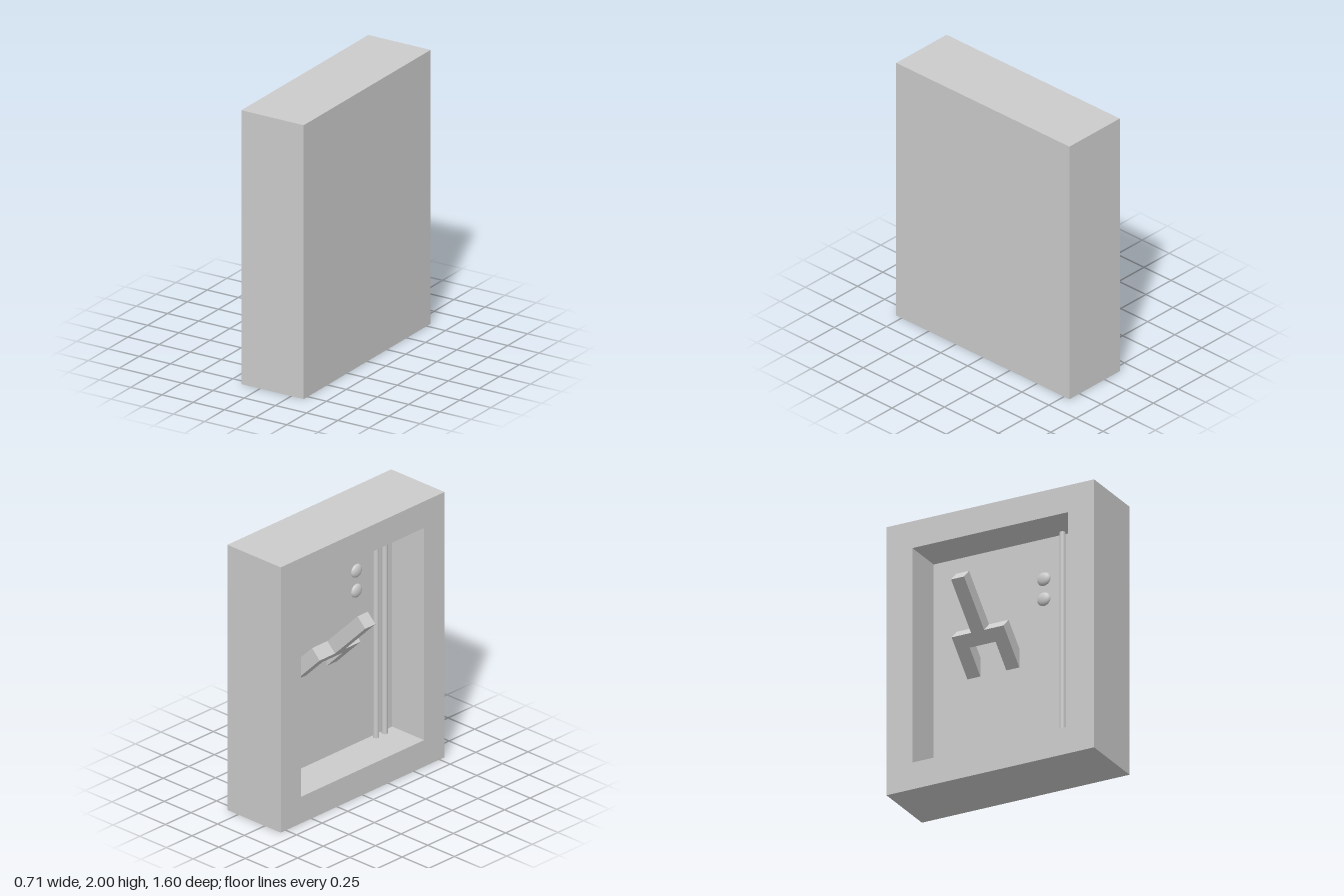
import * as THREE from 'three';

const material = new THREE.MeshStandardMaterial({ color: 0xcccccc });

function add(parent, name, geometry, x, y, z) {
  const mesh = new THREE.Mesh(geometry, material);
  mesh.name = name;
  mesh.position.set(x, y, z);
  parent.add(mesh);
  return mesh;
}

function rectangle(Type, x0, y0, x1, y1) {
  return new Type([[x0, y0], [x1, y0], [x1, y1], [x0, y1]].map(p => new THREE.Vector2(...p)));
}

export function createModel() {
  const model = new THREE.Group();
  model.name = 'switchCabinet';

  // Cabinet: a frame open towards -x, closed by a thick back panel
  const outline = rectangle(THREE.Shape, -0.8, 0, 0.8, 2);
  outline.holes.push(rectangle(THREE.Path, -0.6, 0.2, 0.6, 1.8));
  const frame = new THREE.ExtrudeGeometry(outline, { depth: 0.3, bevelEnabled: false });
  frame.rotateY(-Math.PI / 2);
  add(model, 'cabinetFrame', frame, 0.15, 0, 0);
  add(model, 'backPanel', new THREE.BoxGeometry(0.2, 2, 1.6), 0.25, 1, 0);

  // Two vertical conduits in front of the panel
  for (const z of [0.41, 0.495]) {
    add(model, 'conduit', new THREE.CylinderGeometry(0.021, 0.021, 1.6, 24), 0.118, 1, z);
  }

  // Two domed indicator lamps on the panel
  for (const y of [1.5, 1.35]) {
    const lamp = add(model, 'indicatorLamp', new THREE.SphereGeometry(0.05, 32, 16), 0.15, y, 0.25);
    lamp.scale.x = 0.5;
  }

  // Forked lever, tilted 45 degrees up and out of the cabinet
  const lever = new THREE.Group();
  lever.name = 'lever';
  lever.position.set(0.15, 0.955, -0.14);
  lever.rotation.z = Math.PI / 4;
  add(lever, 'leverHandle', new THREE.BoxGeometry(0.1, 0.4, 0.1), 0, 0.465, 0);
  add(lever, 'leverCrossbar', new THREE.BoxGeometry(0.1, 0.1, 0.4), 0, 0.215, 0);
  for (const side of [-1, 1]) {
    add(lever, 'leverArm', new THREE.BoxGeometry(0.1, 0.235, 0.1), 0, 0.0475, side * 0.15);
  }
  model.add(lever);

  return model;
}
